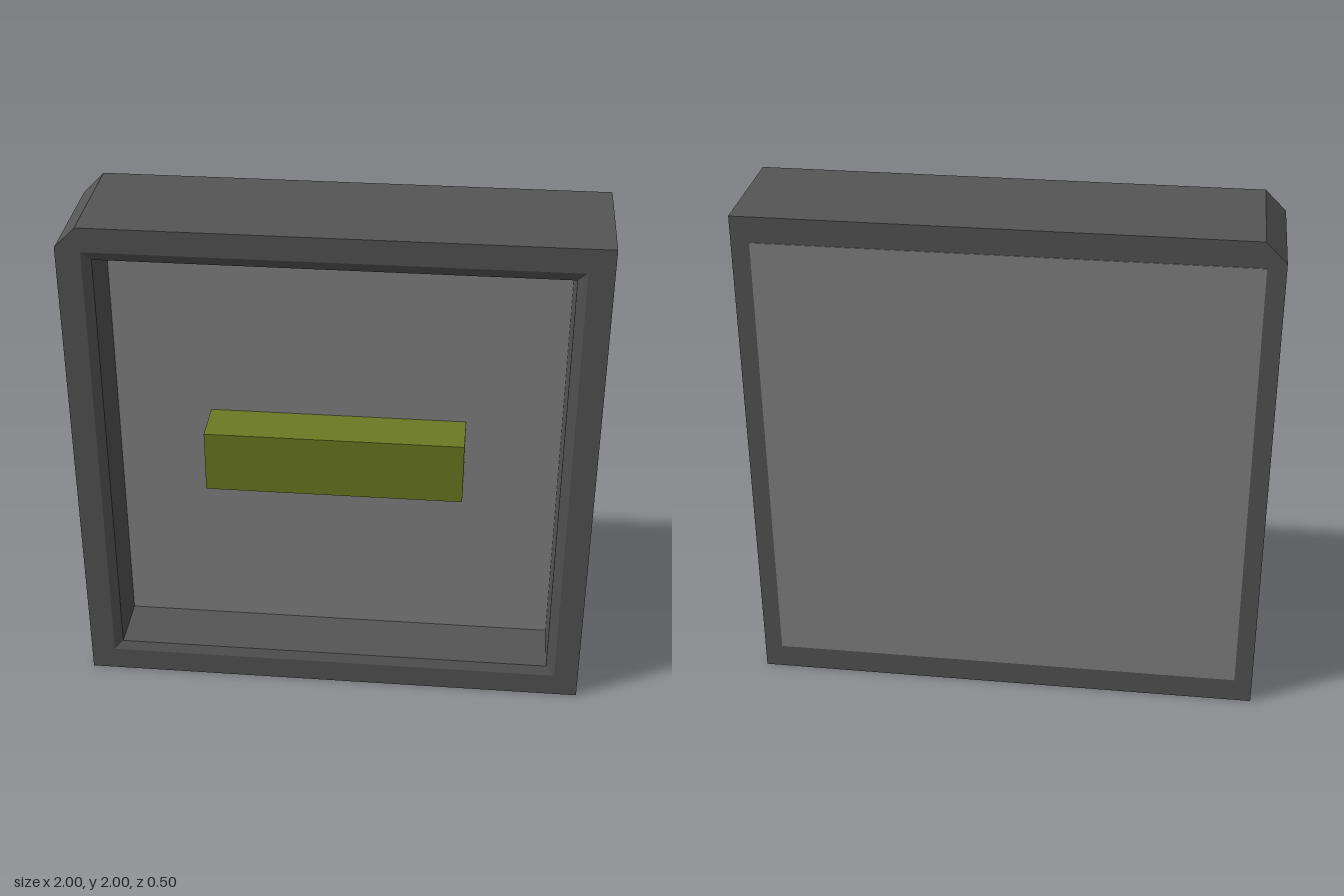
import * as THREE from 'three';

const frameMaterial = new THREE.MeshStandardMaterial({ color: 0x555555 });
const panelMaterial = new THREE.MeshStandardMaterial({ color: 0x848484 });
const barMaterial = new THREE.MeshStandardMaterial({ color: 0x6b7a22 });

// Square ring with one clipped corner, extruded between two depths
function frameLayer(name, opening, zBack, zFront) {
  const cut = 0.08, h = opening;
  const shape = new THREE.Shape([
    [-1, 0], [1, 0], [1, 2], [-1 + cut, 2], [-1, 2 - cut],
  ].map(([x, y]) => new THREE.Vector2(x, y)));
  shape.holes.push(new THREE.Path([
    [-h, 1 - h], [-h, 1 + h], [h, 1 + h], [h, 1 - h],
  ].map(([x, y]) => new THREE.Vector2(x, y))));
  const geometry = new THREE.ExtrudeGeometry(shape, { depth: zFront - zBack, bevelEnabled: false });
  geometry.translate(0, 0, zBack);
  const mesh = new THREE.Mesh(geometry, frameMaterial);
  mesh.name = name;
  return mesh;
}

// Box centred on x = 0, y = 1 between two depths
function slab(name, width, height, zBack, zFront, material) {
  const mesh = new THREE.Mesh(new THREE.BoxGeometry(width, height, zFront - zBack), material);
  mesh.position.set(0, 1, (zBack + zFront) / 2);
  mesh.name = name;
  return mesh;
}

export function createModel() {
  const model = new THREE.Group();
  model.name = 'framedPanel';

  const inner = 0.87, outer = 0.905, zLip = 0.235, zFront = 0.25;

  // Casing and its front lip
  const frame = new THREE.Group();
  frame.name = 'frame';
  frame.add(frameLayer('casing', inner, -0.25, zLip));
  frame.add(frameLayer('frontLip', outer, zLip, zFront));

  // Shallow four-sided bevel leading into the opening
  const bevelGeometry = new THREE.CylinderGeometry(
    outer * Math.SQRT2, inner * Math.SQRT2, zFront - zLip, 4, 1, true, Math.PI / 4);
  bevelGeometry.rotateX(Math.PI / 2);
  const bevel = new THREE.Mesh(bevelGeometry, new THREE.MeshStandardMaterial({
    color: 0x555555, flatShading: true, side: THREE.DoubleSide,
  }));
  bevel.position.set(0, 1, (zFront + zLip) / 2);
  bevel.name = 'openingBevel';
  frame.add(bevel);
  model.add(frame);

  // Panel, just proud of the casing at the back
  model.add(slab('panel', 1.86, 1.8, -0.2525, 0, panelMaterial));

  // Horizontal bar mounted on the panel
  model.add(slab('bar', 1, 0.25, 0, 0.1875, barMaterial));

  return model;
}
